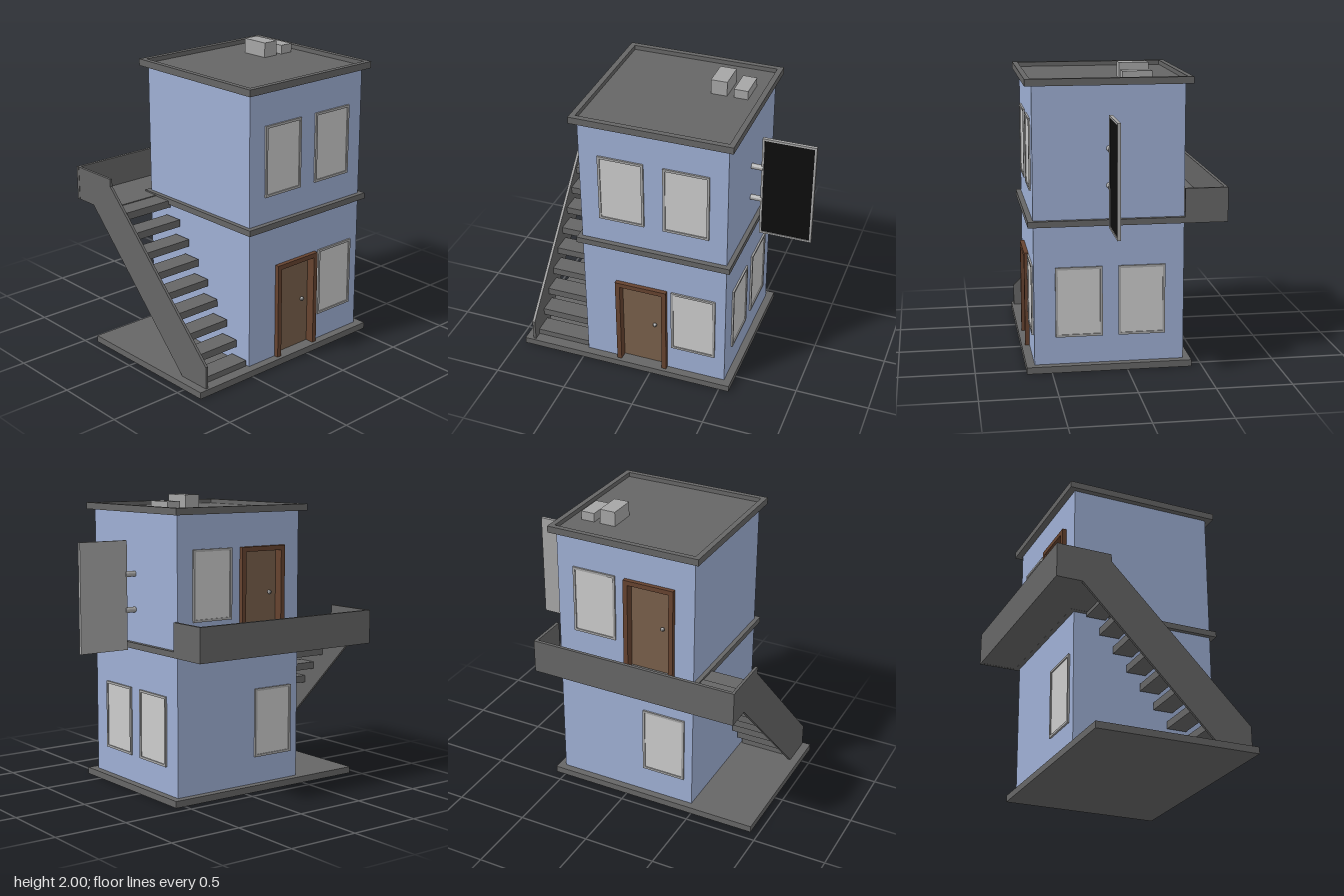
import * as THREE from 'three';

const mat = (color) => new THREE.MeshStandardMaterial({ color, flatShading: true });
const M = {
  wall: mat(0x9eafd4), slab: mat(0x666666), frame: mat(0xa6a6a6), glass: mat(0xcccccc),
  door: mat(0x785f4a), doorFrame: mat(0x66432f), screen: mat(0x0d0d0d),
};

function add(parent, name, geometry, material) {
  const mesh = new THREE.Mesh(geometry, material);
  mesh.name = name;
  parent.add(mesh);
  return mesh;
}

// Box given by its minimum and maximum on each axis
function box(parent, name, material, [x0, x1], [y0, y1], [z0, z1]) {
  const mesh = add(parent, name, new THREE.BoxGeometry(x1 - x0, y1 - y0, z1 - z0), material);
  mesh.position.set((x0 + x1) / 2, (y0 + y1) / 2, (z0 + z1) / 2);
  return mesh;
}

const polygon = (pts) => pts.map(([x, y]) => new THREE.Vector2(x, y));
const rect = (x0, x1, y0, y1) => polygon([[x0, y0], [x1, y0], [x1, y1], [x0, y1]]);

// Flat outline with an optional hole, extruded along z
function plate(parent, name, material, outline, hole, z0, z1) {
  const shape = new THREE.Shape(outline);
  if (hole) shape.holes.push(new THREE.Path(hole));
  const geometry = new THREE.ExtrudeGeometry(shape, { depth: z1 - z0, bevelEnabled: false });
  geometry.translate(0, 0, z0);
  return add(parent, name, geometry, material);
}

function ring(parent, name, material, x0, x1, y0, y1, border, z0, z1) {
  return plate(parent, name, material, rect(x0, x1, y0, y1),
    rect(x0 + border, x1 - border, y0 + border, y1 - border), z0, z1);
}

// Framed window on a wall whose outside is local +z
function addWindow(wall, cx, y0) {
  const group = new THREE.Group();
  group.name = 'window';
  wall.add(group);
  const x0 = cx - 0.155, x1 = cx + 0.155, y1 = y0 + 0.47;
  ring(group, 'windowFrame', M.frame, x0, x1, y0, y1, 0.016, -0.005, 0.012);
  box(group, 'windowPane', M.glass, [x0 + 0.01, x1 - 0.01], [y0 + 0.01, y1 - 0.01], [-0.005, 0.005]);
}

// Recessed door with a frame open at the bottom
function addDoor(wall, cx, y0, y1) {
  const group = new THREE.Group();
  group.name = 'door';
  wall.add(group);
  const a = cx - 0.18, b = cx + 0.18, t = 0.032;
  plate(group, 'doorFrame', M.doorFrame, polygon([[a, y0], [a + t, y0], [a + t, y1 - t],
    [b - t, y1 - t], [b - t, y0], [b, y0], [b, y1], [a, y1]]), null, -0.04, 0.03);
  box(group, 'doorLeaf', M.door, [a + 0.02, b - 0.02], [y0, y1 - 0.02], [-0.045, -0.03]);
  const knob = add(group, 'doorKnob', new THREE.SphereGeometry(0.014, 10, 8), M.frame);
  knob.position.set(cx + 0.085, y0 + 0.33, -0.016);
}

// Side wall with a door opening
function sideWall(parent, x, turn, doorX, y0, y1, windows) {
  const wall = new THREE.Group();
  wall.name = 'sideWall';
  wall.position.set(x, 0, -0.02);
  wall.rotation.y = turn;
  parent.add(wall);
  plate(wall, 'wallPanel', M.wall, rect(-0.5, 0.5, 0.04, 1.89),
    rect(doorX - 0.17, doorX + 0.17, y0, y1 - 0.01), -0.04, 0);
  addDoor(wall, doorX, y0, y1);
  windows.forEach(([cx, y]) => addWindow(wall, cx, y));
}

export function createModel() {
  const model = new THREE.Group();
  model.name = 'house';

  // Ground slab, house core and the band between storeys
  box(model, 'baseSlab', M.slab, [-0.43, 0.665], [0, 0.045], [-0.57, 0.945]);
  box(model, 'houseCore', M.wall, [-0.34, 0.57], [0.04, 1.89], [-0.52, 0.48]);
  box(model, 'floorBand', M.slab, [-0.41, 0.645], [0.975, 1.015], [-0.55, 0.51]);

  // Side and back openings
  sideWall(model, 0.61, Math.PI / 2, -0.09, 0.045, 0.7, [[-0.215, 1.19], [0.225, 1.19], [0.275, 0.23]]);
  sideWall(model, -0.38, -Math.PI / 2, 0.18, 1.015, 1.66, [[-0.225, 1.19], [0.285, 0.23]]);
  const back = new THREE.Group();
  back.name = 'backWindows';
  back.position.set(0.115, 0, -0.52);
  back.rotation.y = Math.PI;
  model.add(back);
  [-0.2, 0.215].forEach((x) => addWindow(back, x, 0.23));

  // Roof with a raised rim and two vent boxes
  box(model, 'roofDeck', M.slab, [-0.41, 0.64], [1.886, 1.9], [-0.55, 0.51]);
  const rim = ring(model, 'roofRim', M.slab, -0.425, 0.655, -0.52, 0.56, 0.036, 1.885, 1.93);
  rim.rotation.x = -Math.PI / 2;
  box(model, 'largeVent', M.frame, [-0.175, 0.02], [1.9, 2], [-0.31, -0.2]);
  box(model, 'smallVent', M.frame, [-0.175, 0.02], [1.9, 1.96], [-0.45, -0.355]);

  // Balcony walkway and parapet
  box(model, 'walkway', M.slab, [-0.65, -0.37], [0.976, 1.005], [-0.54, 0.88]);
  box(model, 'landing', M.slab, [-0.4, -0.295], [0.976, 1.005], [0.47, 0.88]);
  box(model, 'sideParapet', M.slab, [-0.665, -0.643], [0.975, 1.205], [-0.55, 0.89]);
  box(model, 'backParapet', M.slab, [-0.65, -0.38], [0.975, 1.205], [-0.55, -0.53]);

  // Front parapet running down as the stair side
  plate(model, 'stairSide', M.slab, polygon([[-0.66, 0.975], [-0.49, 0.975], [0.415, 0.045],
    [0.65, 0.045], [0.65, 0.195], [-0.295, 1.155], [-0.295, 1.205], [-0.66, 1.205]]), null, 0.87, 0.888);

  // Open treads
  for (let i = 0; i < 9; i++) {
    const nose = 0.59 - 0.094 * i, top = 0.085 + 0.1143 * i;
    box(model, 'stairTread', M.slab, [nose - 0.135, nose], [top - 0.05, top], [0.49, 0.875]);
  }

  // Hanging sign: blank on one face, dark framed panel on the other
  const sign = new THREE.Group();
  sign.name = 'sign';
  sign.position.set(0.115, 0, 0);
  sign.rotation.y = Math.PI / 2;
  model.add(sign);
  ring(sign, 'signFrame', M.frame, 0.587, 0.945, 0.97, 1.7, 0.014, -0.011, 0.011);
  box(sign, 'signBack', M.frame, [0.59, 0.94], [0.975, 1.695], [-0.011, 0]);
  box(sign, 'signPanel', M.screen, [0.598, 0.934], [0.981, 1.689], [0, 0.005]);
  [1.235, 1.475].forEach((y) => {
    const arm = add(sign, 'signBracket', new THREE.CylinderGeometry(0.019, 0.019, 0.085, 16), M.frame);
    arm.rotation.z = Math.PI / 2;
    arm.position.set(0.555, y, 0);
  });

  return model;
}
